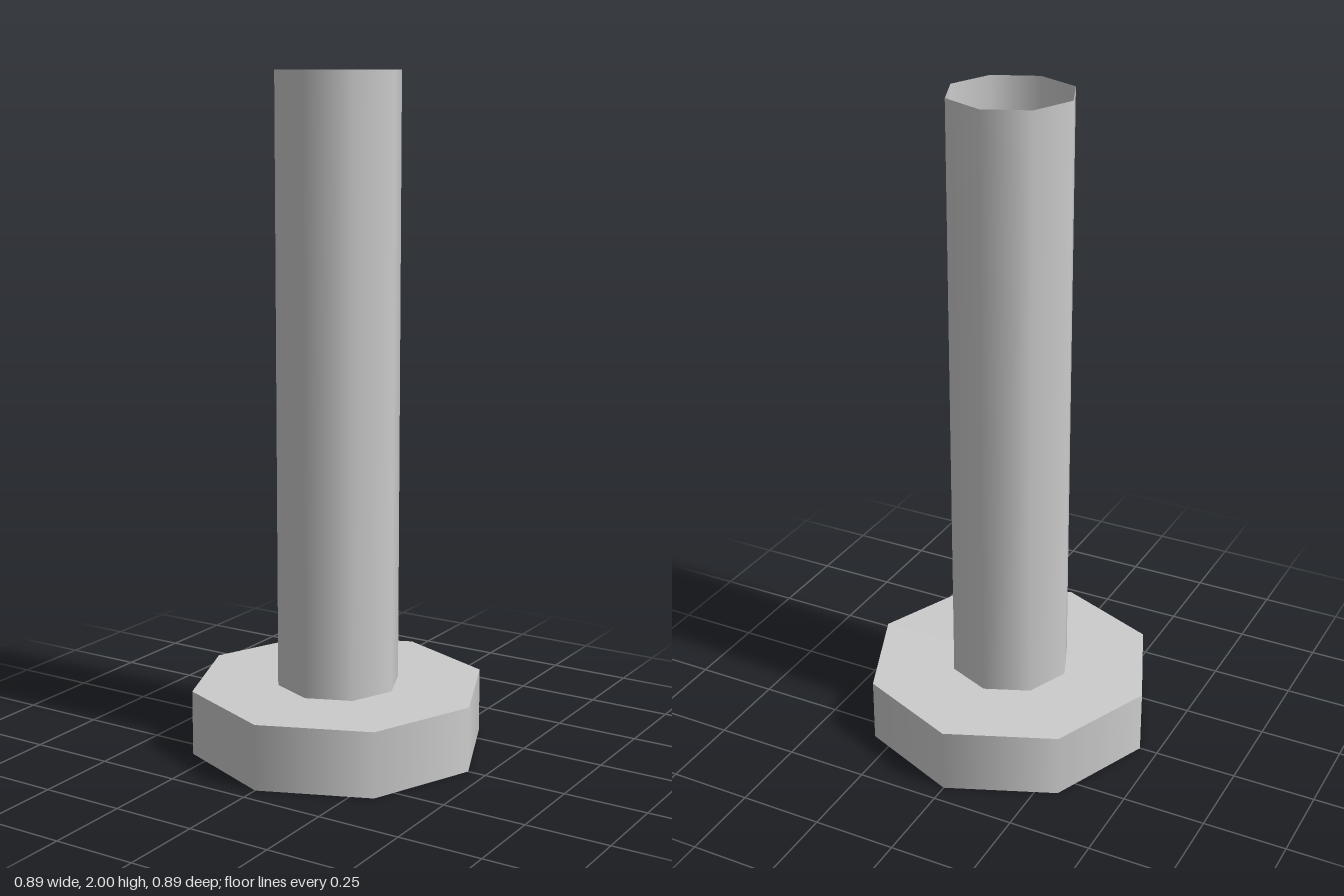
import * as THREE from 'three';

const SIDES = 8;
const BASE_HEIGHT = 0.195;
const TOTAL_HEIGHT = 2;

export function createModel() {
  const model = new THREE.Group();
  const material = new THREE.MeshStandardMaterial({ color: 0xcccccc });
  const thinMaterial = new THREE.MeshStandardMaterial({ color: 0xcccccc, side: THREE.DoubleSide });

  // Solid octagonal foot
  const base = new THREE.Mesh(new THREE.CylinderGeometry(0.444, 0.444, BASE_HEIGHT, SIDES), material);
  base.name = 'base';
  base.position.y = BASE_HEIGHT / 2;

  // Hollow post, open at the top
  const height = TOTAL_HEIGHT - BASE_HEIGHT;
  const post = new THREE.Mesh(new THREE.CylinderGeometry(0.185, 0.185, height, SIDES, 1, true), thinMaterial);
  post.name = 'post';
  post.position.y = BASE_HEIGHT + height / 2;

  model.add(base, post);
  return model;
}
